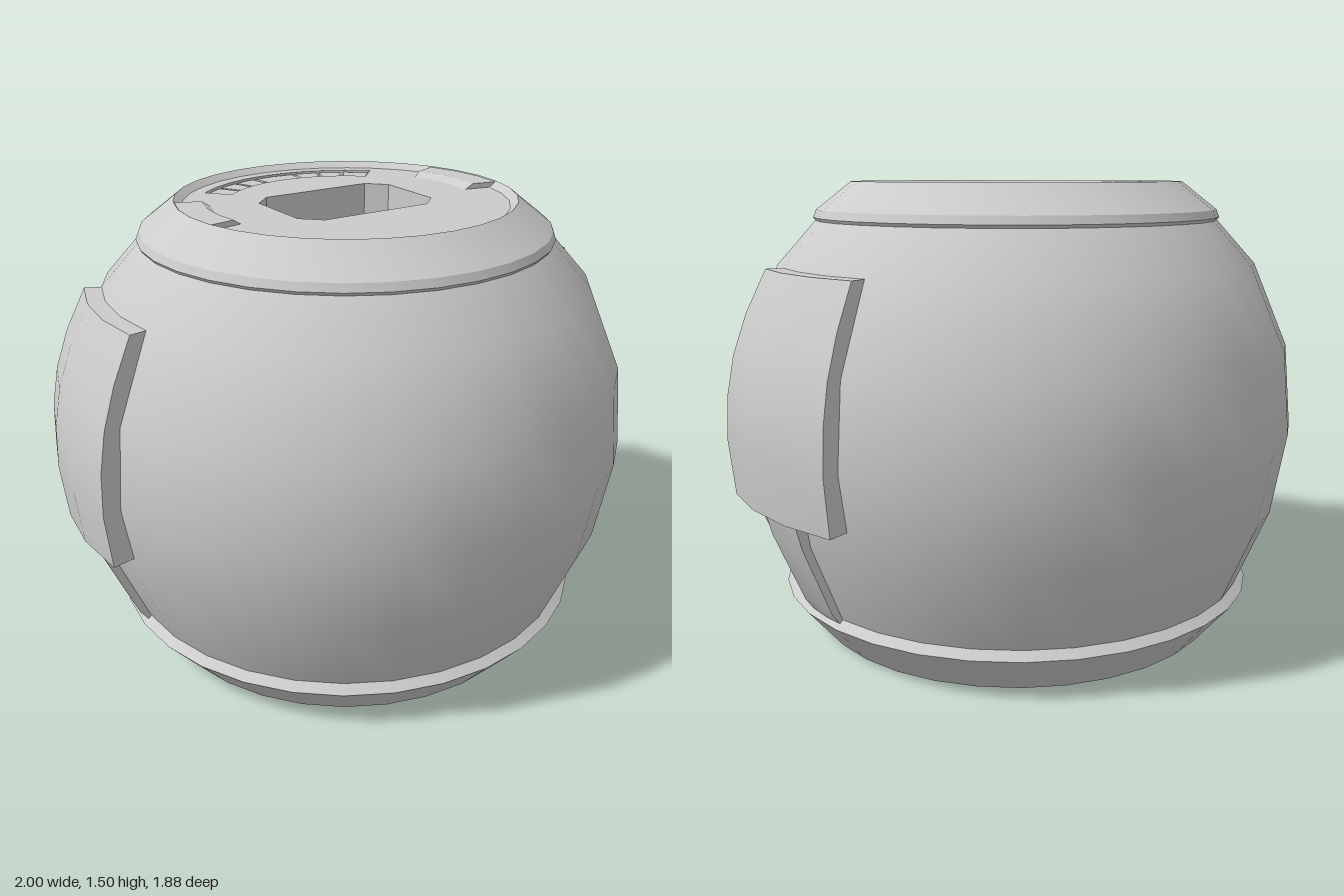
import * as THREE from 'three';
import { mergeGeometries, toCreasedNormals } from 'three/addons/utils/BufferGeometryUtils.js';

const SEG = 32;
const STEP = (Math.PI * 2) / SEG;
const vec = (list) => list.map(([r, y]) => new THREE.Vector2(r, y));
const material = new THREE.MeshStandardMaterial({ color: 0xcccccc });

function addMesh(parent, name, geometry, crease = 0.5) {
  const mesh = new THREE.Mesh(toCreasedNormals(geometry, crease), material);
  mesh.name = name;
  parent.add(mesh);
  return mesh;
}

// Solid made by sweeping a closed (radius, height) section round part of the y axis
function arcSolid(section, phi0, phi1, segments) {
  const side = new THREE.LatheGeometry(vec([...section, section[0]]), segments, phi0, phi1 - phi0);
  const cap = (phi, flip) => {
    const g = new THREE.ShapeGeometry(new THREE.Shape(vec(section)));
    if (flip) g.setIndex(Array.from(g.index.array).reverse());
    return g.rotateY(phi - Math.PI / 2);
  };
  return mergeGeometries([side, cap(phi0, false), cap(phi1, true)]);
}

// The same solid on the left (+x) and right (-x); front and back are angles off the side axis
function addPair(parent, name, section, front, back, segments) {
  const q = Math.PI / 2;
  addMesh(parent, 'left' + name, arcSolid(section, q - front, q + back, segments));
  addMesh(parent, 'right' + name, arcSolid(section, 3 * q - back, 3 * q + front, segments));
}

// Octagonal opening with cut corners
function octagon(w, h, c) {
  return new THREE.Path(vec([
    [w, h - c], [w - c, h], [c - w, h], [-w, h - c],
    [-w, c - h], [c - w, -h], [w - c, -h], [w, c - h],
  ]));
}

export function createModel() {
  const group = new THREE.Group();
  group.name = 'roundCanister';

  // Rounded body
  addMesh(group, 'body', new THREE.LatheGeometry(vec([
    [0.77, 0.13], [0.79, 0.17], [0.895, 0.43], [0.94, 0.7], [0.915, 0.965], [0.8, 1.235], [0.66, 1.39],
  ]), SEG), 0.7);

  // Foot with a flared side and a narrow top ledge
  addMesh(group, 'base', new THREE.LatheGeometry(vec([
    [0, 0], [0.7, 0], [0.815, 0.14], [0.775, 0.175],
  ]), SEG));

  // Collar with a sloped shoulder and a bevelled inner lip
  addMesh(group, 'collar', new THREE.LatheGeometry(vec([
    [0.64, 1.37], [0.67, 1.37], [0.68, 1.385], [0.67, 1.41], [0.555, 1.5], [0.528, 1.478],
  ]), SEG), 0.4);

  // Recessed lid with a central socket and a curved slot for the keys
  const slotHalf = 0.763;
  const lid = new THREE.Shape().absarc(0, 0, 0.535, 0, Math.PI * 2);
  const slot = new THREE.Path();
  slot.absarc(0, 0, 0.484, Math.PI / 2 - slotHalf, Math.PI / 2 + slotHalf, false);
  slot.absarc(0, 0, 0.388, Math.PI / 2 + slotHalf, Math.PI / 2 - slotHalf, true);
  slot.closePath();
  lid.holes.push(octagon(0.255, 0.18, 0.06), slot);
  const lidGeometry = new THREE.ExtrudeGeometry(lid, { depth: 0.15, bevelEnabled: false, curveSegments: 16 });
  addMesh(group, 'lid', lidGeometry.rotateX(-Math.PI / 2).translate(0, 1.33, 0));
  const floor = new THREE.CircleGeometry(0.53, SEG).rotateX(-Math.PI / 2);
  addMesh(group, 'socketFloor', floor.translate(0, 1.335, 0));

  // Slot floor and its row of keys: three each side of a wide middle one
  const ring = (r0, r1, y0, y1) => [[r0, y0], [r1, y0], [r1, y1], [r0, y1]];
  addMesh(group, 'slotFloor', arcSolid(ring(0.38, 0.49, 1.4, 1.46), Math.PI - slotHalf, Math.PI + slotHalf, 10));
  const edges = [-0.763, -0.545, -0.36, -0.17, 0.17, 0.36, 0.545, 0.763];
  for (let i = 0; i < edges.length - 1; i++) {
    const gap = 0.014;
    const key = arcSolid(ring(0.394, 0.478, 1.45, 1.474), Math.PI + edges[i] + gap, Math.PI + edges[i + 1] - gap, 2);
    addMesh(group, 'key' + (i + 1), key);
  }

  // Raised tabs at both sides of the lid
  addPair(group, 'LidTab', [[0.43, 1.475], [0.54, 1.475], [0.552, 1.497], [0.465, 1.497]], STEP, 2 * STEP, 3);

  // Curved side plates
  addPair(group, 'SidePlate', [
    [0.88, 0.52], [0.982, 0.52], [1, 0.7], [0.993, 0.84], [0.968, 0.97], [0.922, 1.1], [0.855, 1.235],
    [0.77, 1.235], [0.88, 0.965], [0.91, 0.7],
  ], STEP, 2 * STEP, 3);

  // Struts running from the plates down to the base
  addPair(group, 'Strut', [
    [0.75, 0.15], [0.795, 0.15], [0.825, 0.19], [0.925, 0.43], [0.955, 0.54], [0.88, 0.54], [0.86, 0.43],
  ], 0, STEP, 2);

  return group;
}
